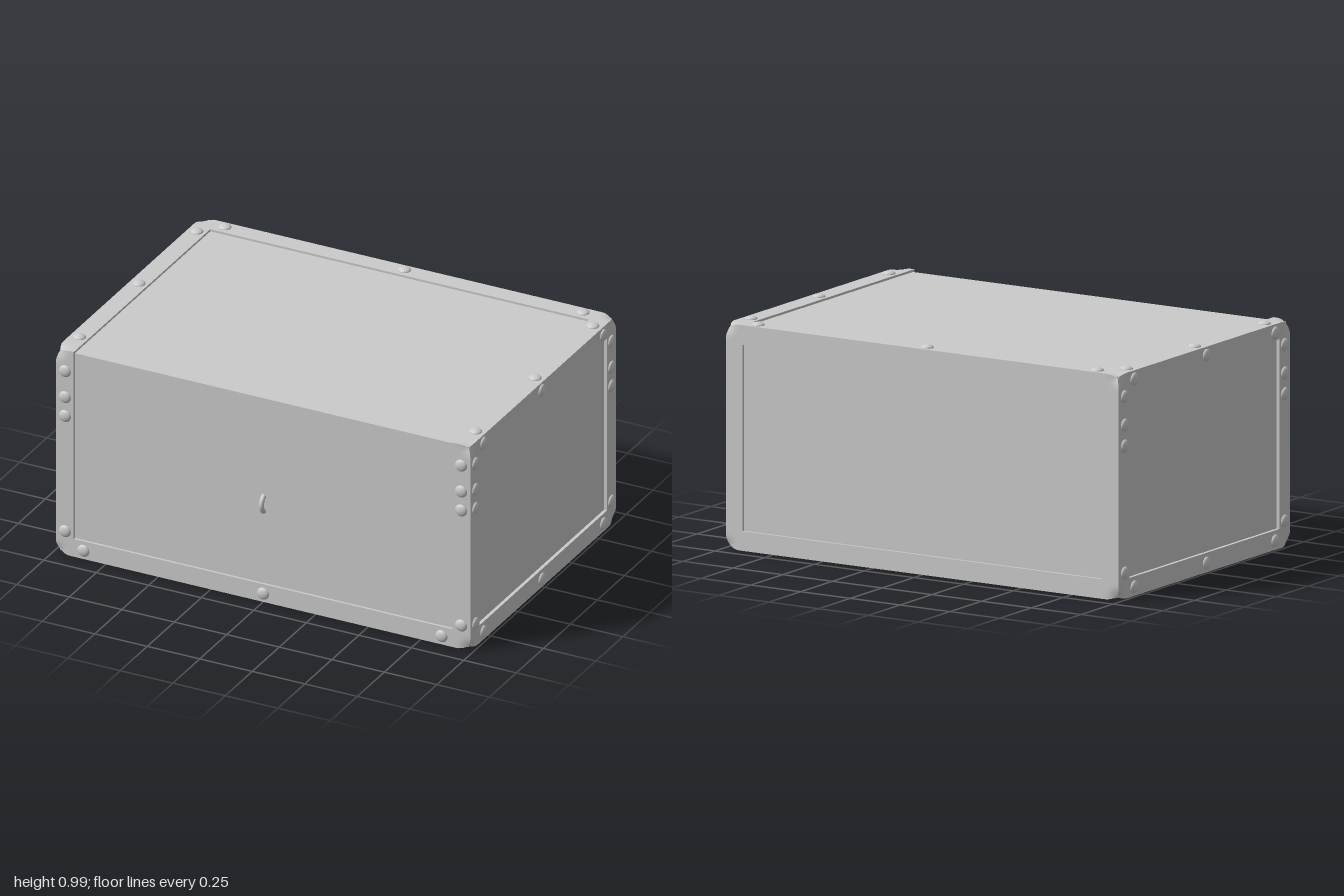
import * as THREE from 'three';

const material = new THREE.MeshStandardMaterial({ color: 0xcccccc });

// outer limits of the frame and the width of its bars
const X = 0.987, Y = 0.977, Z0 = -0.685, Z1 = 0.664, W = 0.085;

function add(parent, name, geometry) {
  const mesh = new THREE.Mesh(geometry, material);
  mesh.name = name;
  parent.add(mesh);
  return mesh;
}

function boxBetween(parent, name, a, b) {
  const size = b.map((v, i) => v - a[i]);
  const mesh = add(parent, name, new THREE.BoxGeometry(...size));
  mesh.position.set(...a.map((v, i) => v + size[i] / 2));
  return mesh;
}

// cube whose outermost corner is pulled softly inwards
function cornerGeometry(sx, sy, sz) {
  const g = new THREE.BoxGeometry(W, W, W, 6, 6, 6);
  const p = g.attributes.position;
  const outer = new THREE.Vector3(sx, sy, sz).multiplyScalar(W / 2);
  const v = new THREE.Vector3();
  for (let i = 0; i < p.count; i++) {
    v.fromBufferAttribute(p, i);
    const pull = 0.014 * Math.max(0, 1 - v.distanceTo(outer) / (W * 0.75)) ** 1.5;
    p.setXYZ(i, v.x - sx * pull, v.y - sy * pull, v.z - sz * pull);
  }
  g.computeVertexNormals();
  return g;
}

export function createModel() {
  const chest = new THREE.Group();
  chest.name = 'chest';

  // recessed body panels
  boxBetween(chest, 'body', [-0.972, 0.012, -0.673], [0.972, 0.967, 0.653]);

  // frame bars; the upper front edge stays open
  const frame = new THREE.Group();
  frame.name = 'frame';
  chest.add(frame);
  const ix = X - W;
  boxBetween(frame, 'lowerFrontBar', [-ix, 0, Z1 - W], [ix, W, Z1]);
  boxBetween(frame, 'lowerBackBar', [-ix, 0, Z0], [ix, W, Z0 + W]);
  boxBetween(frame, 'upperBackBar', [-ix, Y - W, Z0], [ix, Y, Z0 + W]);
  for (const s of [-1, 1]) {
    const x0 = s > 0 ? ix : -X, x1 = x0 + W;
    boxBetween(frame, 'lowerSideBar', [x0, 0, Z0 + W], [x1, W, Z1 - W]);
    boxBetween(frame, 'upperSideBar', [x0, Y - W + 0.015, Z0 + W], [x1, Y, Z1 - W]);
    for (const front of [false, true]) {
      const z0 = front ? Z1 - W : Z0;
      boxBetween(frame, 'post', [x0, W, z0], [x1, Y - W, z0 + W]);
      for (const top of [false, true]) {
        const corner = add(frame, 'corner', cornerGeometry(s, top ? 1 : -1, front ? 1 : -1));
        corner.position.set(x0 + W / 2, top ? Y - W / 2 : W / 2, z0 + W / 2);
      }
    }
  }

  // domed rivets
  const rivets = new THREE.Group();
  rivets.name = 'rivets';
  chest.add(rivets);
  const dome = new THREE.SphereGeometry(0.028, 20, 8, 0, Math.PI * 2, 0, Math.PI / 2);
  dome.scale(1, 0.48, 1);
  const up = new THREE.Vector3(0, 1, 0);
  const rivet = (x, y, z, nx, ny, nz) => {
    const mesh = add(rivets, 'rivet', dome);
    mesh.position.set(x, y, z);
    mesh.quaternion.setFromUnitVectors(up, new THREE.Vector3(nx, ny, nz));
  };
  const postHeights = [0.113, 0.663, 0.753, 0.877];
  for (const s of [-1, 1]) {
    for (const y of postHeights) {
      rivet(s * 0.943, y, Z1, 0, 0, 1);
      rivet(s * X, y, 0.62, s, 0, 0);
      rivet(s * X, y, -0.638, s, 0, 0);
    }
    for (const z of [-0.563, 0.005, 0.545]) {
      rivet(s * X, 0.04, z, s, 0, 0);
      rivet(s * X, 0.94, z, s, 0, 0);
    }
    for (const z of [-0.555, -0.02, 0.53]) rivet(s * 0.943, Y, z, 0, 1, 0);
  }
  for (const x of [-0.855, 0, 0.85]) {
    rivet(x, 0.04, Z1, 0, 0, 1);
    rivet(x, Y, -0.645, 0, 1, 0);
  }

  // pull ring, mostly sunk into the front panel
  const ring = add(chest, 'pullRing', new THREE.TorusGeometry(0.04, 0.011, 12, 40));
  ring.rotation.y = Math.PI / 2;
  ring.position.set(-0.003, 0.463, 0.634);

  return chest;
}
